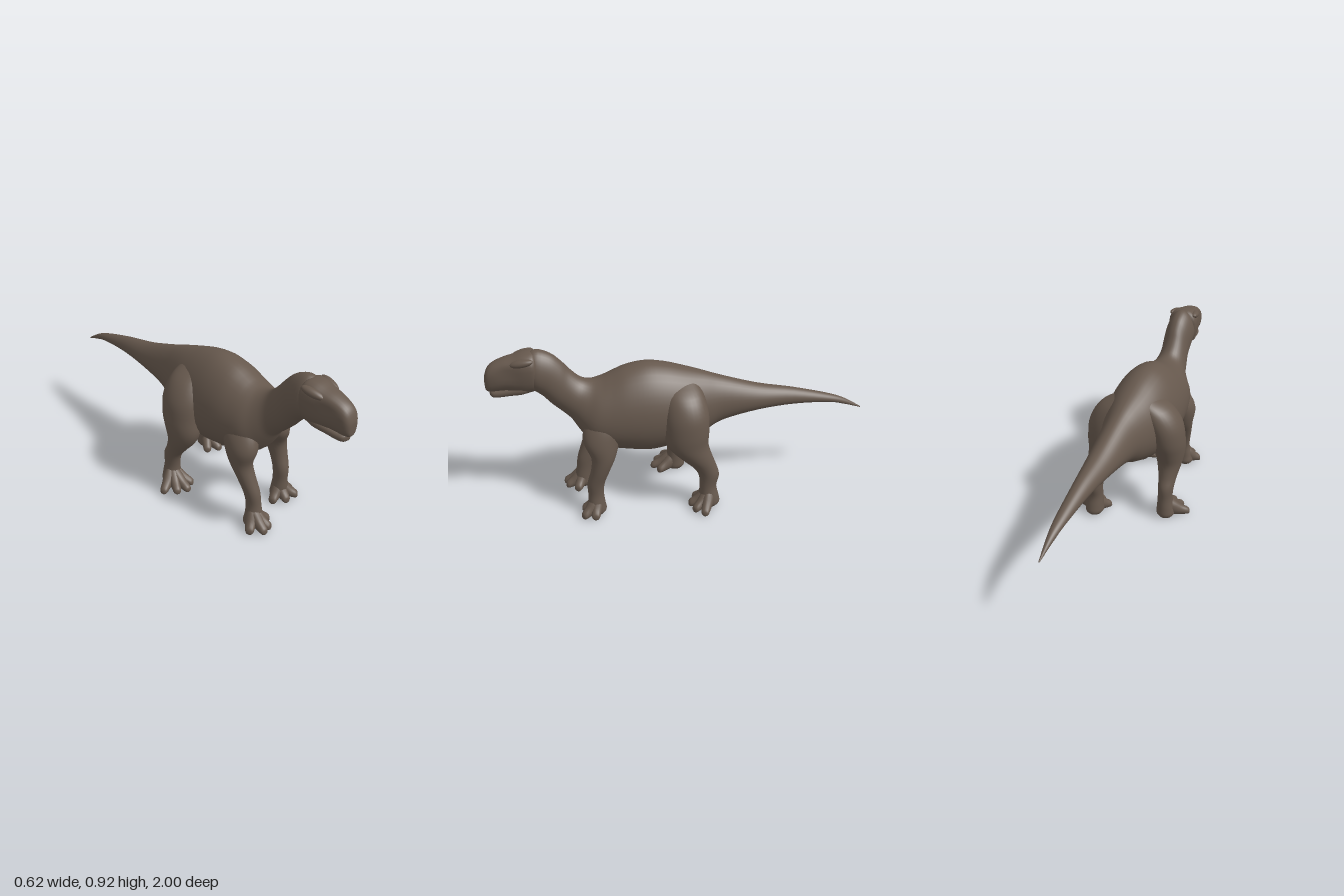
import * as THREE from 'three';

const V = (x, y, z) => new THREE.Vector3(x, y, z);
const hide = new THREE.MeshStandardMaterial({ color: 0x66584d });
hide.name = 'brown hide';

// Smooth closed skin through rings [centre, half-axis u, half-axis v], with u x v along the path.
// power 2 gives elliptic rings, higher values boxier ones; pear narrows the +v side and widens the other.
function loft(name, rings, { power = 2, pear = 0, sides = 28, steps = 4, warp } = {}) {
  const curves = [0, 1, 2].map(k => new THREE.CatmullRomCurve3(rings.map(r => r[k]), false, 'catmullrom', 0.5));
  const n = (rings.length - 1) * steps;
  const pos = [], index = [];
  const add = p => { if (warp) warp(p); pos.push(p.x, p.y, p.z); };
  const bend = w => Math.sign(w) * Math.abs(w) ** (2 / power);
  for (let i = 0; i <= n; i++) {
    const [c, u, v] = curves.map(curve => curve.getPoint(i / n));
    for (let j = 0; j < sides; j++) {
      const a = j / sides * Math.PI * 2, up = bend(Math.sin(a));
      add(c.clone().addScaledVector(u, bend(Math.cos(a)) * (1 - pear * up)).addScaledVector(v, up));
    }
  }
  const first = pos.length / 3, last = first + 1;
  add(rings[0][0].clone());
  add(rings[rings.length - 1][0].clone());
  for (let j = 0; j < sides; j++) {
    const k = (j + 1) % sides, e = n * sides;
    for (let i = 0; i < n; i++) {
      const a = i * sides + j, b = i * sides + k;
      index.push(a, b, a + sides, b, b + sides, a + sides);
    }
    index.push(first, k, j, last, e + j, e + k);
  }
  const geo = new THREE.BufferGeometry();
  geo.setAttribute('position', new THREE.Float32BufferAttribute(pos, 3));
  geo.setIndex(index);
  geo.computeVertexNormals();
  const mesh = new THREE.Mesh(geo, hide);
  mesh.name = name;
  return mesh;
}

// Section from a top point and a bottom point in the side plane, plus half width
const section = (zt, yt, zb, yb, w, x = 0.01) =>
  [V(x, (yt + yb) / 2, (zt + zb) / 2), V(w, 0, 0), V(0, (yt - yb) / 2, (zt - zb) / 2)];

// Toe: tapered, rounded finger sloping from the ankle to its tip on the ground
function toe(from, tip) {
  const d = V(tip[0] - from.x, 0, tip[1] - from.z);
  const u = V(0, 1, 0).cross(d.clone().normalize());
  const steps = [[0, 0.075, 0.032, 0.062], [0.35, 0.056, 0.032, 0.048], [0.65, 0.038, 0.026, 0.031],
    [0.88, 0.028, 0.022, 0.022], [0.97, 0.024, 0.015, 0.015], [1, 0.022, 0.003, 0.003]];
  return loft('toe', steps.map(([t, y, ru, rv]) => [
    V(from.x + d.x * t, y, from.z + d.z * t), u.clone().multiplyScalar(ru), V(0, rv, 0),
  ]), { sides: 14, steps: 3 });
}

// Leg from level rings [x, y, z, rx, rz], ending in a foot with spread toes
function leg(name, rings, tips) {
  const g = new THREE.Group();
  g.name = name;
  const [x, , z, rx, rz] = rings[rings.length - 1];
  const sole = [x, 0.008, z, rx * 0.75, rz * 0.75];
  g.add(loft(name + 'Limb', [...rings, sole].map(r => [V(r[0], r[1], r[2]), V(r[3], 0, 0), V(0, 0, r[4])])));
  tips.forEach(tip => g.add(toe(V(x, 0, z), tip)));
  return g;
}

export function createModel() {
  const model = new THREE.Group();
  model.name = 'dinosaur';

  // Tail, trunk and rising neck as one skin, narrower along the back
  model.add(loft('body', [
    section(-1, 0.436, -1, 0.43, 0.003),
    section(-0.9, 0.498, -0.9, 0.464, 0.018),
    section(-0.8, 0.537, -0.8, 0.489, 0.03),
    section(-0.6, 0.592, -0.6, 0.5, 0.048),
    section(-0.4, 0.635, -0.4, 0.488, 0.072),
    section(-0.2, 0.7, -0.2, 0.445, 0.098),
    section(-0.1, 0.737, -0.1, 0.39, 0.128),
    section(0, 0.77, 0, 0.35, 0.165),
    section(0.1, 0.8, 0.1, 0.33, 0.183),
    section(0.2, 0.814, 0.2, 0.318, 0.19),
    section(0.3, 0.798, 0.31, 0.335, 0.187),
    section(0.38, 0.765, 0.42, 0.36, 0.176),
    section(0.43, 0.745, 0.51, 0.405, 0.158),
    section(0.48, 0.738, 0.56, 0.475, 0.122),
    section(0.53, 0.755, 0.595, 0.535, 0.093),
    section(0.58, 0.805, 0.64, 0.582, 0.08),
    section(0.62, 0.858, 0.685, 0.63, 0.077, 0.015),
    section(0.67, 0.905, 0.725, 0.68, 0.079, 0.015),
    section(0.74, 0.93, 0.76, 0.71, 0.078, 0.015),
    section(0.8, 0.9, 0.79, 0.73, 0.055, 0.015),
  ], { sides: 36, pear: 0.15 }));

  // Skull with hollows under the brows, tapering down to the mouth
  const head = new THREE.Group();
  head.name = 'head';
  const hollow = p => {
    const k = Math.exp(-(((p.y - 0.84) / 0.035) ** 2) - ((p.z - 0.88) / 0.06) ** 2);
    p.x = 0.015 + (p.x - 0.015) * (1 - 0.12 * k);
  };
  head.add(loft('skull', [
    section(0.735, 0.9, 0.745, 0.745, 0.066, 0.015),
    section(0.755, 0.922, 0.76, 0.715, 0.081, 0.015),
    section(0.8, 0.922, 0.8, 0.707, 0.081, 0.015),
    section(0.85, 0.908, 0.85, 0.715, 0.072, 0.015),
    section(0.9, 0.896, 0.9, 0.725, 0.062, 0.015),
    section(0.95, 0.876, 0.95, 0.724, 0.053, 0.015),
    section(0.98, 0.85, 0.98, 0.724, 0.044, 0.015),
    section(0.997, 0.81, 0.997, 0.732, 0.027, 0.015),
    section(1, 0.785, 1, 0.755, 0.006, 0.015),
  ], { power: 2.5, pear: -0.1, warp: hollow }));
  head.add(loft('lowerJaw', [
    section(0.76, 0.78, 0.76, 0.715, 0.05, 0.015),
    section(0.82, 0.765, 0.82, 0.702, 0.06, 0.015),
    section(0.88, 0.75, 0.88, 0.697, 0.051, 0.015),
    section(0.94, 0.738, 0.94, 0.691, 0.042, 0.015),
    section(0.97, 0.733, 0.97, 0.692, 0.032, 0.015),
    section(0.983, 0.727, 0.983, 0.702, 0.01, 0.015),
  ], { power: 2.3 }));
  for (const s of [-1, 1]) {
    const brow = new THREE.Mesh(new THREE.SphereGeometry(1, 20, 14), hide);
    brow.name = 'brow';
    brow.scale.set(0.024, 0.02, 0.06);
    brow.position.set(0.015 + s * 0.058, 0.888, 0.808);
    brow.rotation.set(0.2, -s * 0.2, 0);
    head.add(brow);
  }
  model.add(head);

  // Front legs, the right one a step ahead, shoulders sunk into the chest
  model.add(leg('leftFrontLeg', [
    [0.06, 0.63, 0.4, 0.035, 0.06], [0.1, 0.54, 0.425, 0.07, 0.1], [0.128, 0.45, 0.45, 0.076, 0.096],
    [0.158, 0.36, 0.447, 0.056, 0.064], [0.166, 0.28, 0.468, 0.046, 0.05], [0.162, 0.2, 0.495, 0.04, 0.046],
    [0.16, 0.13, 0.5, 0.037, 0.042], [0.16, 0.07, 0.5, 0.047, 0.046], [0.16, 0.03, 0.495, 0.05, 0.046],
  ], [[0.245, 0.515], [0.222, 0.58], [0.14, 0.58], [0.07, 0.53]]));
  model.add(leg('rightFrontLeg', [
    [-0.045, 0.63, 0.4, 0.035, 0.06], [-0.085, 0.54, 0.425, 0.07, 0.1], [-0.11, 0.45, 0.46, 0.074, 0.094],
    [-0.116, 0.36, 0.47, 0.056, 0.064], [-0.11, 0.28, 0.505, 0.047, 0.05], [-0.1, 0.2, 0.537, 0.041, 0.046],
    [-0.097, 0.13, 0.552, 0.037, 0.042], [-0.103, 0.07, 0.562, 0.046, 0.046], [-0.108, 0.03, 0.56, 0.05, 0.048],
  ], [[-0.188, 0.615], [-0.125, 0.67], [-0.075, 0.66], [-0.024, 0.6]]));

  // Hind legs with heavy thighs, the right one a step ahead
  model.add(leg('leftHindLeg', [
    [0.05, 0.73, 0.02, 0.03, 0.06], [0.105, 0.67, 0.015, 0.085, 0.098], [0.152, 0.58, 0.01, 0.094, 0.116],
    [0.171, 0.48, 0.01, 0.09, 0.117], [0.176, 0.4, 0.005, 0.082, 0.108], [0.18, 0.33, -0.035, 0.069, 0.087],
    [0.182, 0.26, -0.083, 0.053, 0.064], [0.186, 0.2, -0.108, 0.044, 0.055], [0.187, 0.13, -0.103, 0.042, 0.046],
    [0.19, 0.07, -0.108, 0.05, 0.053], [0.19, 0.03, -0.112, 0.052, 0.056],
  ], [[0.308, -0.065], [0.262, -0.015], [0.195, 0.005], [0.125, -0.03]]));
  model.add(leg('rightHindLeg', [
    [-0.04, 0.73, 0.06, 0.03, 0.06], [-0.095, 0.67, 0.065, 0.085, 0.098], [-0.147, 0.58, 0.075, 0.094, 0.116],
    [-0.168, 0.48, 0.085, 0.09, 0.115], [-0.175, 0.4, 0.1, 0.082, 0.105], [-0.178, 0.33, 0.095, 0.069, 0.082],
    [-0.182, 0.26, 0.06, 0.052, 0.06], [-0.185, 0.2, 0.027, 0.043, 0.052], [-0.184, 0.13, 0.02, 0.041, 0.046],
    [-0.188, 0.07, 0.02, 0.048, 0.052], [-0.19, 0.03, 0.02, 0.052, 0.055],
  ], [[-0.31, 0.085], [-0.25, 0.14], [-0.19, 0.165], [-0.13, 0.13]]));

  return model;
}
